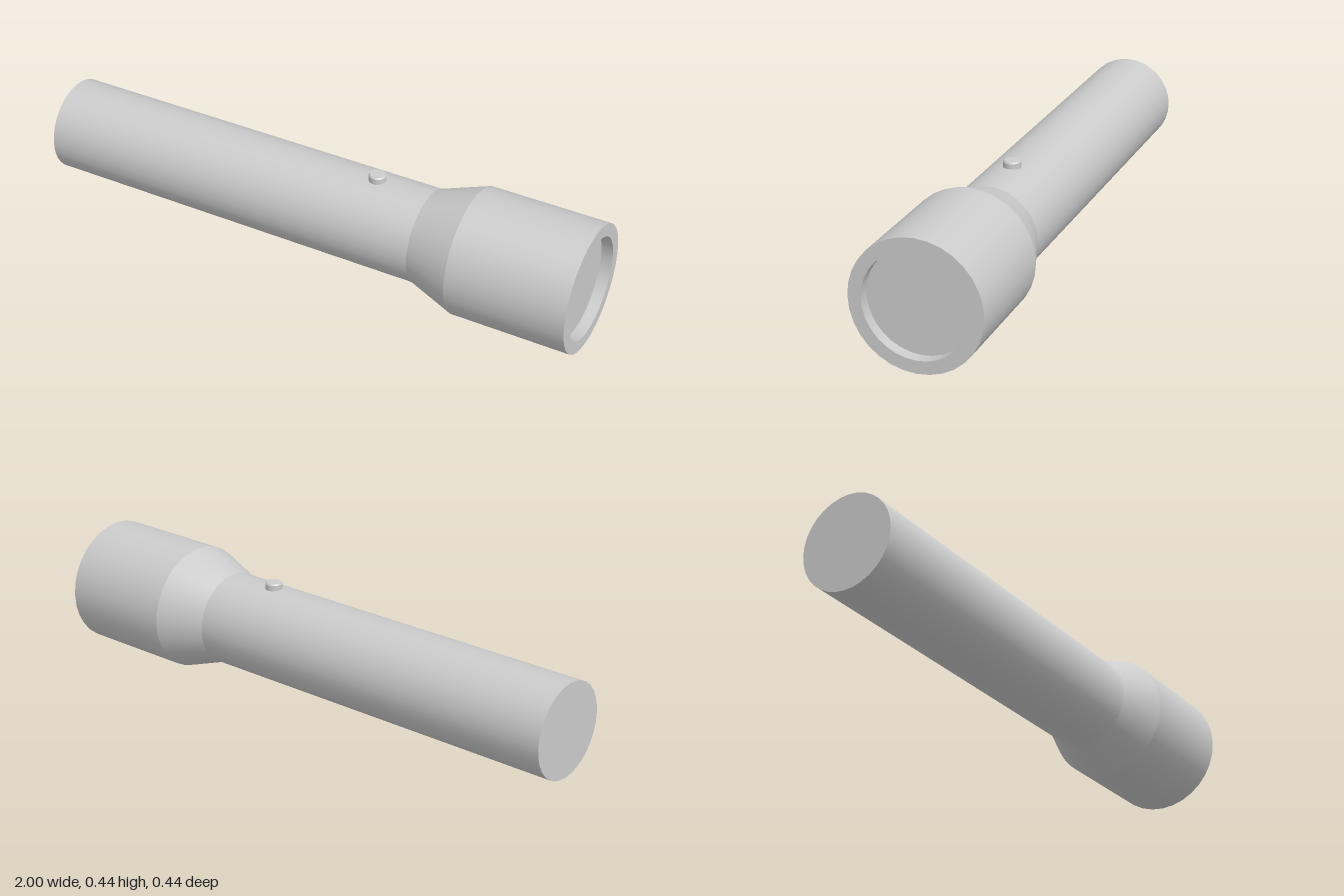
import * as THREE from 'three';
import { mergeGeometries } from 'three/addons/utils/BufferGeometryUtils.js';

const material = new THREE.MeshStandardMaterial({ color: 0xcccccc });
const AXIS_Y = 0.222;

// Revolve a profile of [radius, height] points, keeping every profile corner sharp
function turned(name, profile, segments = 32) {
  const bands = [];
  for (let i = 0; i < profile.length - 1; i++) {
    const pair = [profile[i], profile[i + 1]].map(([r, h]) => new THREE.Vector2(r, h));
    bands.push(new THREE.LatheGeometry(pair, segments));
  }
  const mesh = new THREE.Mesh(mergeGeometries(bands), material);
  mesh.name = name;
  return mesh;
}

export function createModel() {
  const group = new THREE.Group();
  group.name = 'flashlight';

  // Parts turned around the long axis, laid along x
  const barrel = new THREE.Group();
  barrel.name = 'barrel';
  barrel.rotation.z = -Math.PI / 2;
  barrel.position.y = AXIS_Y;
  barrel.add(
    turned('handle', [[0, -1], [0.164, -1], [0.164, 0.415]]),
    turned('taper', [[0.164, 0.415], [0.222, 0.58]]),
    turned('head', [[0.222, 0.58], [0.222, 1], [0.178, 1], [0.178, 0.96]]),
    turned('lens', [[0.178, 0.96], [0, 0.96]])
  );
  group.add(barrel);

  // Small switch button on top of the handle
  const button = turned('switchButton',
    [[0, 0], [0.03, 0], [0.03, 0.028], [0.026, 0.033], [0, 0.033]], 24);
  button.position.set(0.22, 0.375, 0);
  group.add(button);

  return group;
}
